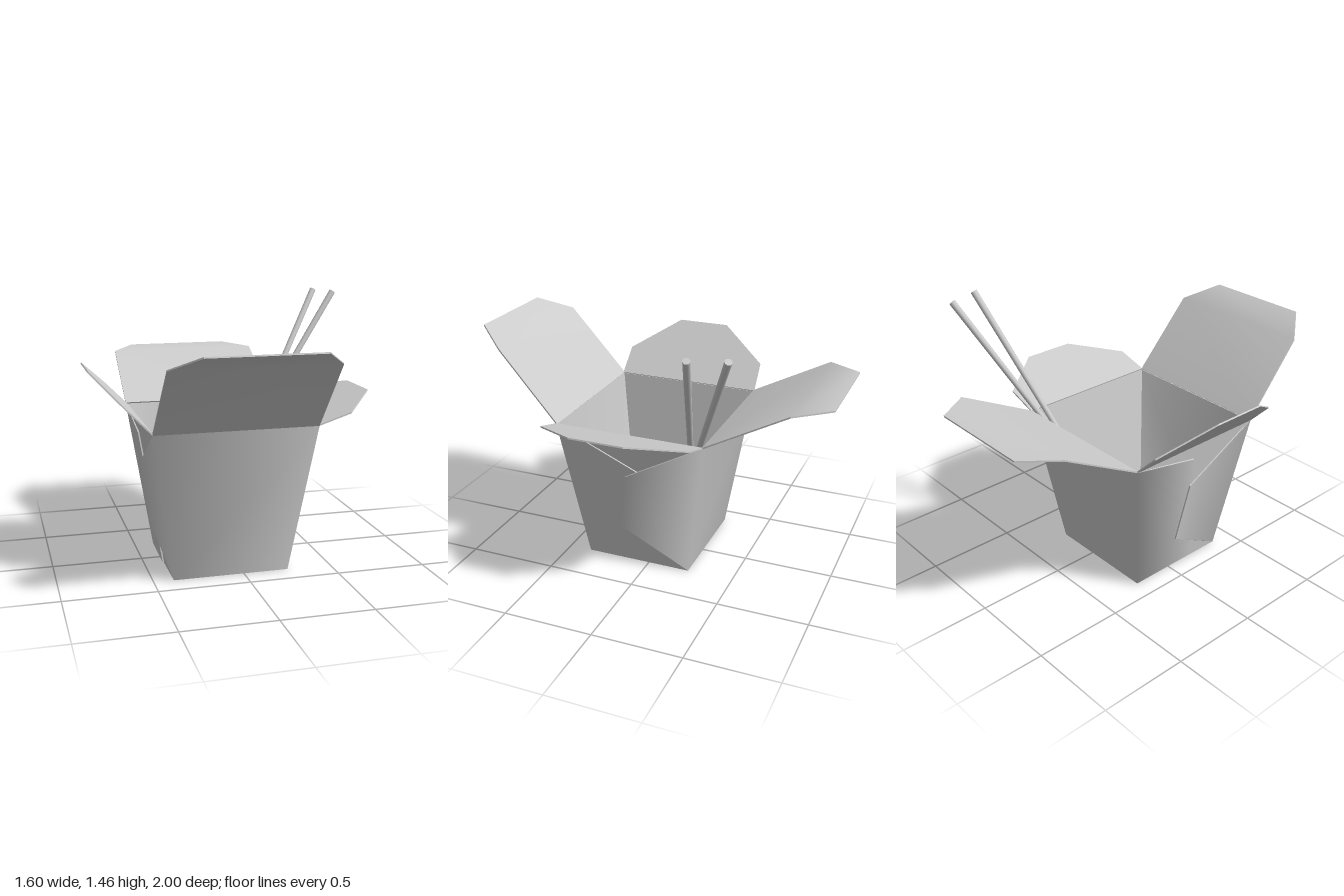
import * as THREE from 'three';

const material = new THREE.MeshStandardMaterial({ color: 0xcccccc, side: THREE.DoubleSide });
const THICKNESS = 0.008;

// Folded card: convex faces sharing corners, given thickness and closed along the rim.
function card(name, faces) {
  const keys = [], points = [], tris = [], edges = new Map();
  const id = (p) => {
    const key = p.join();
    if (!keys.includes(key)) { keys.push(key); points.push(...p); }
    return keys.indexOf(key);
  };
  for (const face of faces) {
    const f = face.map(id);
    for (let i = 1; i < f.length - 1; i++) tris.push([f[0], f[i], f[i + 1]]);
    f.forEach((a, i) => edges.set(`${a},${f[(i + 1) % f.length]}`, [a, f[(i + 1) % f.length]]));
  }
  const outer = new THREE.BufferGeometry();
  outer.setAttribute('position', new THREE.Float32BufferAttribute(points, 3));
  outer.setIndex(tris.flat());
  outer.computeVertexNormals();
  const normals = outer.attributes.normal.array;
  const n = keys.length;
  const pos = [...points, ...points.map((v, i) => v - normals[i] * THICKNESS)];
  const index = tris.flatMap(([a, b, c]) => [a, b, c, c + n, b + n, a + n]);
  // Rim strips use their own corners so the cut edge stays sharp
  for (const [a, b] of edges.values()) {
    if (edges.has(`${b},${a}`)) continue;
    const k = pos.length / 3;
    for (const v of [a, a + n, b + n, b]) pos.push(...pos.slice(v * 3, v * 3 + 3));
    index.push(k, k + 1, k + 2, k, k + 2, k + 3);
  }
  const geometry = new THREE.BufferGeometry();
  geometry.setAttribute('position', new THREE.Float32BufferAttribute(pos, 3));
  geometry.setIndex(index);
  geometry.computeVertexNormals();
  const mesh = new THREE.Mesh(geometry, material);
  mesh.name = name;
  return mesh;
}

// Tapered stick between two points
function stick(name, from, to) {
  const a = new THREE.Vector3(...from), b = new THREE.Vector3(...to);
  const dir = b.clone().sub(a);
  const mesh = new THREE.Mesh(new THREE.CylinderGeometry(0.019, 0.012, dir.length(), 12), material);
  mesh.position.copy(a).add(b).multiplyScalar(0.5);
  mesh.quaternion.setFromUnitVectors(new THREE.Vector3(0, 1, 0), dir.normalize());
  mesh.name = name;
  return mesh;
}

export function createModel() {
  const group = new THREE.Group();
  group.name = 'takeoutBox';

  // Box corners: L/R is -x/+x, F/B is front/back
  const H = 0.83;
  const base = { LF: [-0.39, 0, 0.37], RF: [0.25, 0, 0.37], RB: [0.25, 0, -0.24], LB: [-0.39, 0, -0.24] };
  const rim = { LF: [-0.515, H, 0.49], RF: [0.375, H, 0.49], RB: [0.375, H, -0.36], LB: [-0.515, H, -0.36] };

  // Floor and side walls
  group.add(card('floor', [[base.LB, base.RB, base.RF, base.LF]]));
  group.add(card('rightWall', [[base.RF, base.RB, rim.RB, rim.RF]]));
  group.add(card('leftWall', [[base.LB, base.LF, rim.LF, rim.LB]]));

  // Point lying just outside a side wall, at height y and depth z
  const onSide = (side, y, z, gap) => [-0.07 + side * (0.32 + 0.125 * y / H + gap), y, z];

  // Front and back walls, each with two tabs folded over the side walls
  group.add(card('frontWall', [
    [base.LF, base.RF, rim.RF, rim.LF],
    [rim.RF, base.RF, onSide(1, 0.24, -0.02, 0.012), onSide(1, 0.58, -0.05, 0.012)],
    [base.LF, rim.LF, onSide(-1, 0.58, 0.04, 0.026), onSide(-1, 0.23, -0.01, 0.03)],
  ]));
  group.add(card('backWall', [
    [base.RB, base.LB, rim.LB, rim.RB],
    [rim.LB, base.LB, onSide(-1, 0.02, 0.15, 0.014), onSide(-1, 0.75, 0.05, 0.012)],
    [base.RB, rim.RB, onSide(1, 0.58, 0.09, 0.026), onSide(1, 0.24, 0.14, 0.026)],
  ]));

  // Large lid flaps with a bent tip
  const lid = (name, a, b, [y1, z1], [y2, z2]) => {
    const inset = Math.sign(b[0] - a[0]);
    const [p, q] = [[a[0] + 0.01 * inset, y1, z1], [b[0] - 0.01 * inset, y1, z1]];
    const [r, s] = [[b[0] - 0.145 * inset, y2, z2], [a[0] + 0.145 * inset, y2, z2]];
    group.add(card(name, [[a, b, q, p], [p, q, r, s]]));
  };
  lid('frontFlap', rim.LF, rim.RF, [1.21, 0.83], [1.29, 1]);
  lid('backFlap', rim.RB, rim.LB, [1.07, -0.81], [1.08, -1]);

  // Side flaps with clipped corners
  const sideFlap = (name, side, mid, tip) => {
    const [f, b] = side > 0 ? [rim.RF, rim.RB] : [rim.LF, rim.LB];
    const loop = [f, b, [...mid, -0.355], [...tip, -0.085], [...tip, 0.215], [...mid, 0.485]];
    group.add(card(name, [side > 0 ? loop : loop.reverse()]));
  };
  sideFlap('rightSideFlap', 1, [0.555, 0.886], [0.76, 0.95]);
  sideFlap('leftSideFlap', -1, [-0.64, 0.957], [-0.8, 1.12]);

  // Chopsticks
  group.add(stick('chopstickFront', [-0.22, 0.03, -0.1], [0.78, 1.45, -0.42]));
  group.add(stick('chopstickBack', [-0.15, 0.03, 0.01], [0.72, 1.45, -0.6]));
  return group;
}
